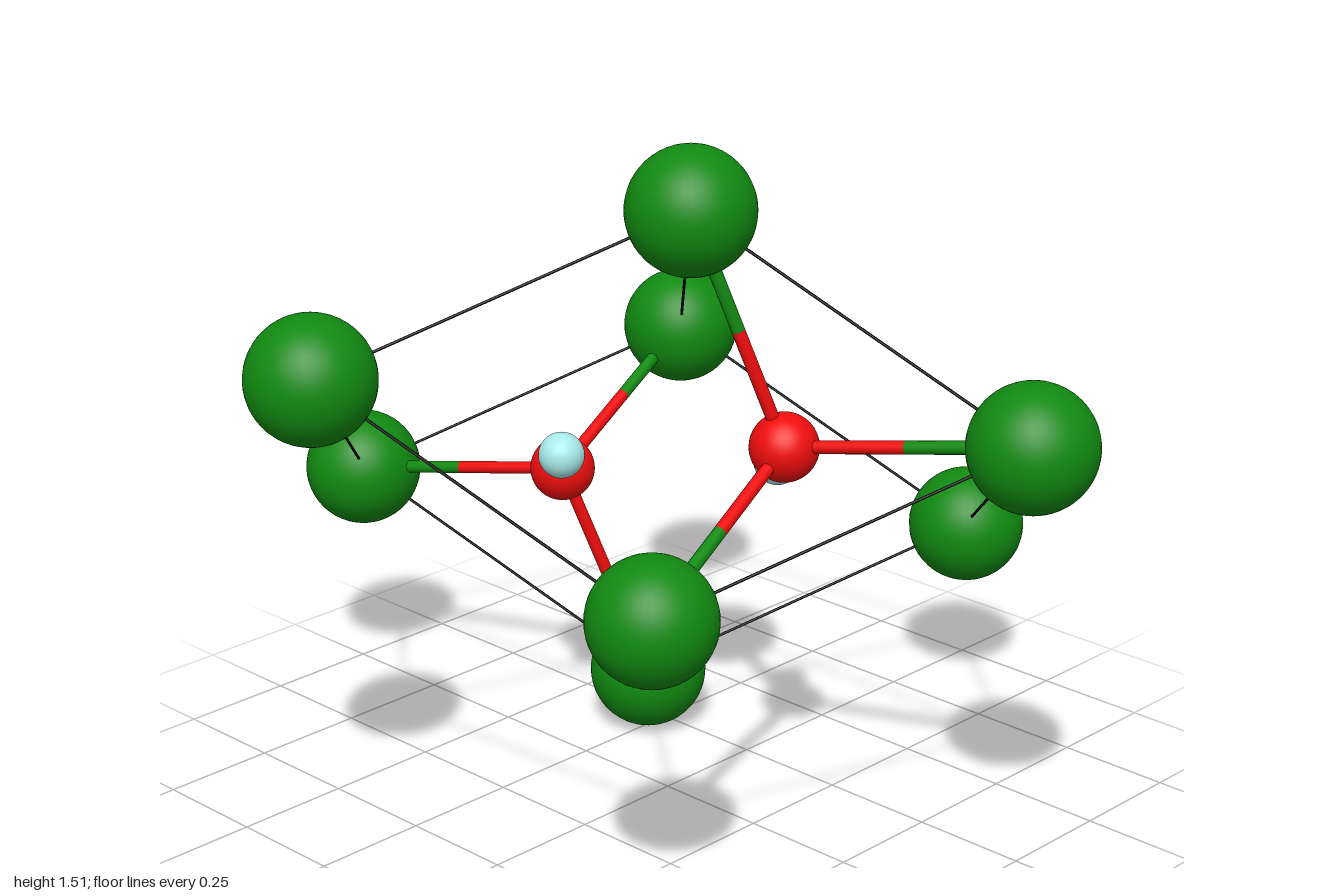
import * as THREE from 'three';

export function createModel() {
  const model = new THREE.Group();
  const mat = (color) => new THREE.MeshStandardMaterial({ color });
  const green = mat(0x118a11), red = mat(0xf00d0d), pale = mat(0xaaeaea), black = mat(0x000000);
  const v = (x, y, z) => new THREE.Vector3(x, y, z);
  const center = v(0, 0.76, 0);
  const up = v(0, 1, 0);

  const ball = (name, pos, radius, material) => {
    const mesh = new THREE.Mesh(new THREE.SphereGeometry(radius, 40, 28), material);
    mesh.name = name;
    mesh.position.copy(pos);
    model.add(mesh);
  };

  const rod = (name, a, b, radius, material, sides) => {
    const dir = b.clone().sub(a);
    const mesh = new THREE.Mesh(new THREE.CylinderGeometry(radius, radius, dir.length(), sides), material);
    mesh.name = name;
    mesh.position.copy(a).add(b).multiplyScalar(0.5);
    mesh.quaternion.setFromUnitVectors(up, dir.normalize());
    model.add(mesh);
  };

  // Two-coloured bond that changes colour halfway
  const bond = (a, b, matA, matB) => {
    const mid = a.clone().lerp(b, 0.5);
    rod('bondInnerHalf', a, mid, 0.0135, matA, 16);
    rod('bondOuterHalf', mid, b, 0.0135, matB, 16);
  };

  // Skewed cell: three edge vectors around the centre
  const axes = [v(-0.613, -0.284, -0.402), v(0.293, -0.401, 0.61), v(0.738, -0.565, -0.735)];
  const corner = (bits) => axes.reduce(
    (p, axis, i) => p.addScaledVector(axis, (bits >> i & 1) - 0.5), center.clone());

  for (let bits = 0; bits < 8; bits++) {
    ball('cornerAtom', corner(bits), 0.128, green);
    for (let i = 0; i < 3; i++) {
      if (!(bits >> i & 1)) rod('cellEdge', corner(bits), corner(bits | 1 << i), 0.003, black, 8);
    }
  }

  // Two inner clusters, mirrored through the centre
  for (const side of [1, -1]) {
    const hub = v(-0.057, 0.135, 0.373).multiplyScalar(side).add(center);
    const tip = v(0.085, 0.03, 0.228).multiplyScalar(side).add(center);
    ball('hubAtom', hub, 0.07, red);
    ball('tipAtom', tip, 0.049, pale);
    bond(hub, tip, red, pale);
    for (const bits of [0, 2, 3]) bond(hub, corner(side > 0 ? bits : 7 - bits), red, green);
  }
  return model;
}
